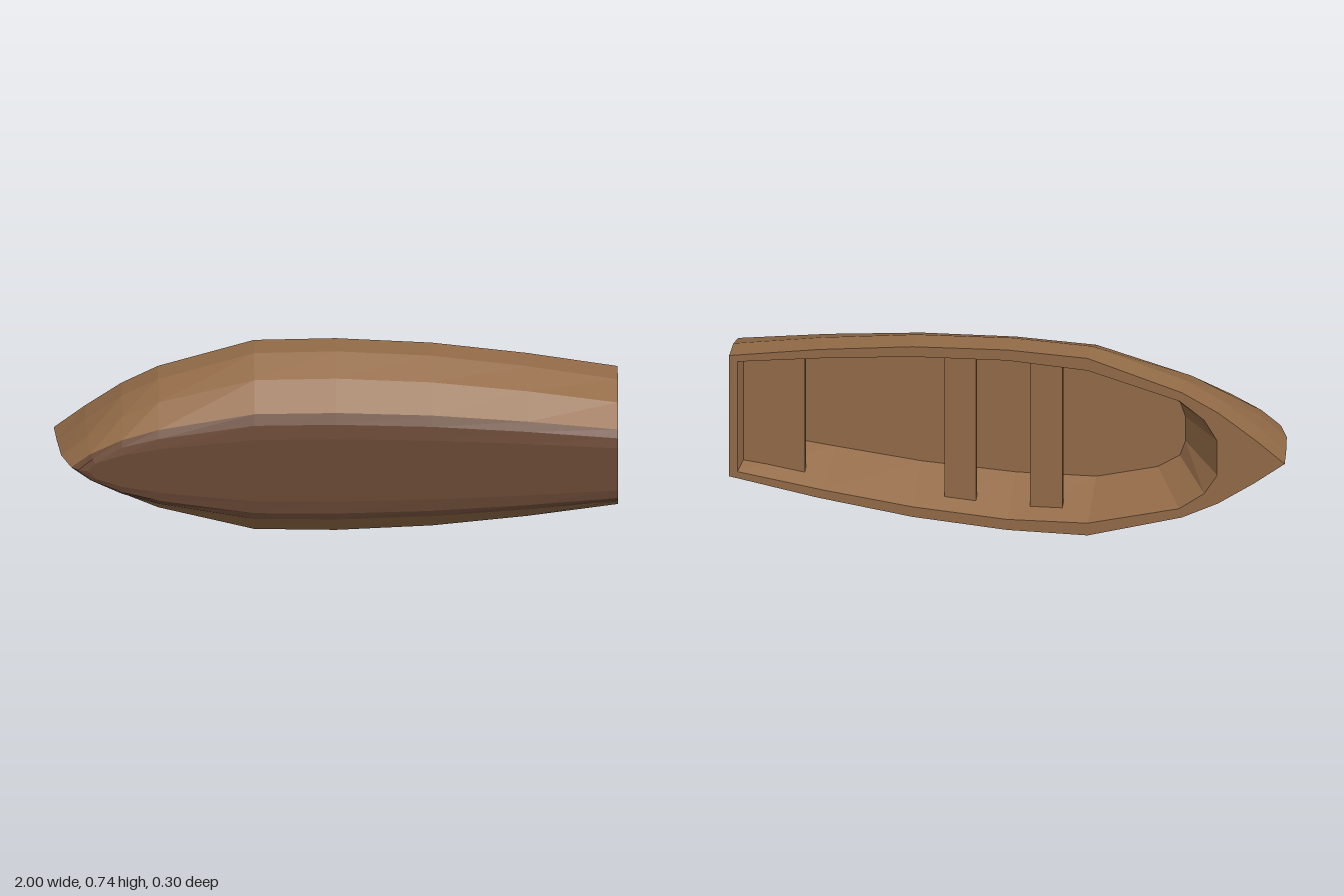
import * as THREE from 'three';

const MID = 0.37; // height of the boat's centre line
// half outline of the gunwale and of the cockpit, bow to stern: [x, half width]
const OUTER = [[-1, 0], [-0.89, 0.09], [-0.76, 0.185], [-0.63, 0.255], [-0.29, 0.362],
  [0, 0.368], [0.34, 0.348], [0.68, 0.303], [1, 0.247]];
const INNER = [[-0.757, 0], [-0.757, 0.07], [-0.71, 0.15], [-0.62, 0.22], [-0.29, 0.312],
  [0, 0.325], [0.34, 0.307], [0.66, 0.27], [0.97, 0.225]];
const FLOOR = [[-0.61, 0], [-0.61, 0.05], [-0.59, 0.11], [-0.51, 0.165], [-0.29, 0.226],
  [0, 0.237], [0.34, 0.225], [0.65, 0.195], [0.93, 0.165]];

// closed loop at depth z: up one side from bow to stern, back along the other
function makeLoop(half, z, scale = 1, rake = 0) {
  const side = half.map(([x, w], i) => [x + rake * (i === 0 ? 1 : i === 1 ? 0.3 : 0), w * scale]);
  const loop = side.map(([x, w]) => [x, MID + w, z]);
  for (let i = side.length - 1; i > 0; i--) loop.push([side[i][0], MID - side[i][1], z]);
  return loop;
}

// skin between successive loops, with optional flat caps
function loft(loops, capStart, capEnd) {
  const pos = [];
  const quad = (a, b, c, d) => pos.push(...a, ...b, ...c, ...a, ...c, ...d);
  const n = loops[0].length;
  for (let k = 0; k < loops.length - 1; k++) {
    for (let i = 0; i < n; i++) {
      const j = (i + 1) % n;
      quad(loops[k][i], loops[k][j], loops[k + 1][j], loops[k + 1][i]);
    }
  }
  const cap = (l, flip) => {
    for (let i = 0; i < (n - 1) / 2; i++) {
      const q = [l[i], l[i + 1], l[n - 1 - i], l[(n - i) % n]];
      quad(...(flip ? q.reverse() : q));
    }
  };
  if (capStart) cap(loops[0], true);
  if (capEnd) cap(loops[loops.length - 1], false);
  const g = new THREE.BufferGeometry();
  g.setAttribute('position', new THREE.Float32BufferAttribute(pos, 3));
  g.computeVertexNormals();
  return g;
}

export function createModel() {
  const group = new THREE.Group();
  group.name = 'rowingBoat';
  const wood = new THREE.MeshStandardMaterial({ color: 0x946c48, flatShading: true });
  wood.name = 'wood';
  const darkWood = new THREE.MeshStandardMaterial({ color: 0x6a4936, flatShading: true });
  darkWood.name = 'dark wood';

  const add = (name, geometry, material) => {
    const mesh = new THREE.Mesh(geometry, material);
    mesh.name = name;
    group.add(mesh);
    return mesh;
  };

  // dark bottom of the hull
  const chine = makeLoop(OUTER, 0.12, 0.605, 0.06);
  add('hullBottom', loft([
    makeLoop(OUTER, 0.148, 0.355, 0.12),
    makeLoop(OUTER, 0.14, 0.505, 0.085),
    chine,
  ], true, false), darkWood);

  // planked sides, transom, rim, inner walls and floor
  add('hullSides', loft([
    chine,
    makeLoop(OUTER, 0.04, 0.86, 0.025),
    makeLoop(OUTER, -0.06, 1, 0.01),
    makeLoop(OUTER, -0.148),
    makeLoop(INNER, -0.148),
    makeLoop(FLOOR, 0.04),
  ], false, true), wood);

  // bench boards: [name, x start, x end, half width]
  const benches = [['sternSeat', 0.737, 0.96, 0.236], ['middleBench', 0.121, 0.234, 0.302],
    ['frontBench', -0.19, -0.074, 0.302]];
  for (const [name, x0, x1, w] of benches) {
    add(name, new THREE.BoxGeometry(x1 - x0, w * 2, 0.022), wood)
      .position.set((x0 + x1) / 2, MID, -0.081);
  }
  return group;
}
